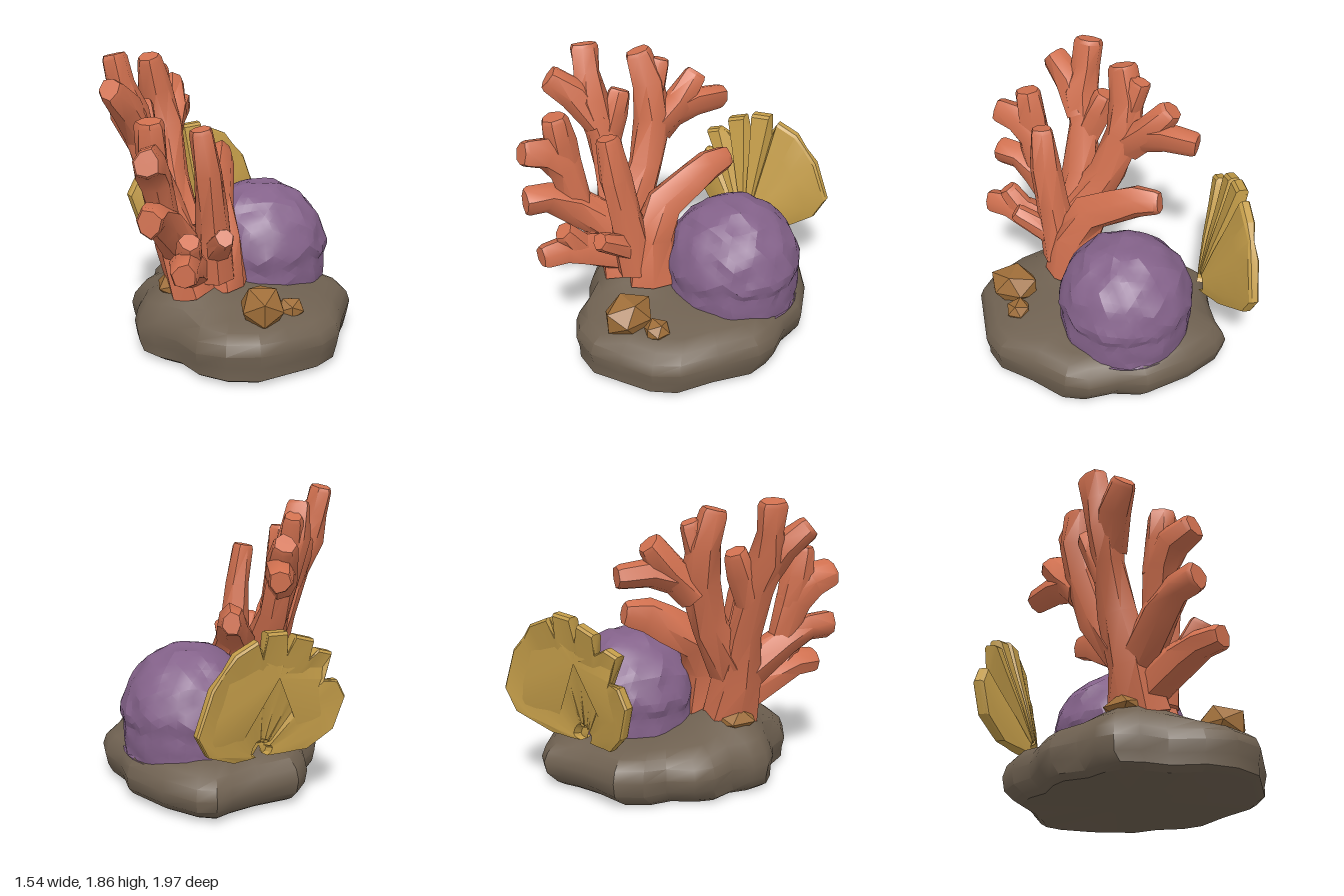
import * as THREE from 'three';
import { toCreasedNormals } from 'three/addons/utils/BufferGeometryUtils.js';

const V = (x, y, z) => new THREE.Vector3(x, y, z);

function material(name, color) {
  const m = new THREE.MeshStandardMaterial({ color });
  m.name = name;
  return m;
}

// Smooth deterministic bumpiness in -1..1
const bump = (p, f) =>
  (Math.sin(p.x * f + 1.3 * Math.sin(p.y * f * 0.8 + 1)) +
   Math.sin(p.y * f * 1.2 + 1.5 * Math.sin(p.z * f * 0.9 + 2)) +
   Math.sin(p.z * f * 1.1 + 1.4 * Math.sin(p.x * f * 0.7 + 4))) / 3;

// Skin a list of equal-length closed rings and cap both ends
function loft(rings, crease) {
  const n = rings[0].length, pos = [];
  const tri = (...pts) => pts.forEach((p) => pos.push(p.x, p.y, p.z));
  const middle = (r) => r.reduce((s, p) => s.add(p), V(0, 0, 0)).divideScalar(n);
  const first = rings[0], last = rings[rings.length - 1];
  const c0 = middle(first), c1 = middle(last);
  for (let j = 0; j < n; j++) {
    const k = (j + 1) % n;
    tri(c0, first[k], first[j]);
    tri(c1, last[j], last[k]);
    for (let i = 0; i < rings.length - 1; i++) {
      const a = rings[i], b = rings[i + 1];
      tri(a[j], a[k], b[k]);
      tri(a[j], b[k], b[j]);
    }
  }
  const g = new THREE.BufferGeometry();
  g.setAttribute('position', new THREE.Float32BufferAttribute(pos, 3));
  return toCreasedNormals(g, crease);
}

// Branch through points [x, y, z, radius], wider in the fan plane, with a blunt tip
function branchGeometry(pts, sides = 7) {
  const p = pts.map((q) => V(q[0], q[1], q[2]));
  const rings = [];
  const addRing = (c, t, rad) => {
    const u = V(1, 0, 0).addScaledVector(t, -t.x).normalize();
    const v = t.clone().cross(u);
    const ring = [];
    for (let j = 0; j < sides; j++) {
      const a = (j / sides) * Math.PI * 2 + 0.3;
      const w = rad * (1 + 0.1 * Math.sin(j * 2.3 + c.y * 9));
      ring.push(c.clone().addScaledVector(u, w * Math.cos(a)).addScaledVector(v, 1.13 * w * Math.sin(a)));
    }
    rings.push(ring);
  };
  p.forEach((c, i) => {
    const t = p[Math.min(i + 1, p.length - 1)].clone().sub(p[Math.max(i - 1, 0)]).normalize();
    addRing(c, t, pts[i][3]);
    if (i === p.length - 1) addRing(c.clone().addScaledVector(t, 0.025), t, pts[i][3] * 0.85);
  });
  return loft(rings, 0.8);
}

// Lumpy ball from a subdivided icosahedron
function lump(radius, detail, freq, amount, crease, shape) {
  const g = new THREE.IcosahedronGeometry(1, detail);
  const a = g.attributes.position, p = V(0, 0, 0);
  for (let i = 0; i < a.count; i++) {
    p.fromBufferAttribute(a, i).normalize();
    p.multiplyScalar(1 + amount * bump(p, freq));
    if (shape) shape(p);
    a.setXYZ(i, p.x * radius[0], p.y * radius[1], p.z * radius[2]);
  }
  return toCreasedNormals(g, crease);
}

function rockGeometry() {
  // Plan outline [x, z], from the front round by the left side; a second lobe sits at right front
  const outline = [[0.12, 0.92], [0.3, 0.83], [0.5, 0.73], [0.62, 0.6], [0.68, 0.35], [0.77, 0.1],
    [0.75, -0.05], [0.65, -0.22], [0.61, -0.4], [0.4, -0.63], [0.2, -0.77], [0.08, -0.8], [-0.02, -0.73],
    [-0.2, -0.64], [-0.44, -0.56], [-0.52, -0.4], [-0.53, -0.25], [-0.62, -0.1], [-0.65, 0.02],
    [-0.6, 0.18], [-0.62, 0.32], [-0.6, 0.44], [-0.5, 0.54], [-0.36, 0.63], [-0.25, 0.8], [-0.08, 0.9]];
  // [scale, height]
  const levels = [[0.88, 0], [0.94, 0.03], [0.98, 0.09], [1, 0.17], [0.97, 0.24], [0.9, 0.295],
    [0.77, 0.33], [0.6, 0.35], [0.42, 0.36], [0.22, 0.37], [0.08, 0.37]];
  return loft(levels.map(([s, h]) => outline.map(([x, z]) => {
    const p = V(0.05 + (x - 0.05) * s, h, 0.05 + (z - 0.05) * s + (h < 0.08 ? 0.035 : 0));
    if (h > 0.05) {
      const d = (p.x + 0.23) ** 2 + (p.z - 0.35) ** 2;
      p.y += 0.022 * bump(p, 9) + (h > 0.27 ? 0.14 * Math.exp(-d / 0.06) : 0);
    }
    return p;
  })), 0.6);
}

function fanGeometry() {
  // Rim of the fan [sideways, up, half thickness]; thin entries are notches
  const rim = [[-0.28, 0.01, 0.03], [-0.42, 0.14, 0.035], [-0.48, 0.34, 0.035], [-0.42, 0.45, 0.035],
    [-0.34, 0.46, 0.012], [-0.39, 0.62, 0.04], [-0.3, 0.65, 0.04], [-0.23, 0.61, 0.012],
    [-0.24, 0.73, 0.04], [-0.12, 0.77, 0.04], [-0.075, 0.66, 0.012], [-0.06, 0.8, 0.04],
    [0.07, 0.81, 0.04], [0.085, 0.66, 0.012], [0.13, 0.77, 0.035], [0.27, 0.71, 0.035],
    [0.34, 0.62, 0.02], [0.42, 0.53, 0.035], [0.515, 0.27, 0.03], [0.44, 0.13, 0.03], [0.22, 0.01, 0.03]];
  const base = V(-0.17, 0.38, -0.58), side = V(0.91, 0, -0.41), back = V(-0.41, 0, -0.91);
  // [fraction of reach, rim share of thickness, overall thickness]
  const rows = [[0.12, 0, 0], [0.15, 0, 1], [0.45, 0.35, 1.1], [0.75, 0.8, 1], [0.98, 1, 1], [1, 1, 0.6], [1, 1, 0]];
  return loft(rows.map(([t, share, k]) => {
    const point = ([u, v, th], face) => {
      const lean = 0.2 * Math.min(1, Math.hypot(u, v) / 0.5) * t - (u < -0.25 && v > 0.55 ? 0.03 * t : 0);
      const thick = THREE.MathUtils.lerp(0.045, th, share) * k;
      return base.clone().addScaledVector(side, u * t).addScaledVector(back, lean + face * thick)
        .add(V(0, 0.02 * t + v * t, 0));
    };
    return [...rim.map((q) => point(q, -1)), ...[...rim].reverse().map((q) => point(q, 1))];
  }), 0.5);
}

export function createModel() {
  const model = new THREE.Group();
  model.name = 'coralReef';
  const stone = material('brownStone', 0x6f6151);
  const purple = material('purpleCoral', 0x84628a);
  const orange = material('orangeCoral', 0xd0704f);
  const gold = material('goldenFan', 0xc49d49);
  const ochre = material('ochrePebble', 0x9f6e39);
  const add = (parent, name, geometry, mat, at = [0, 0, 0]) => {
    const m = new THREE.Mesh(geometry, mat);
    m.name = name;
    m.position.set(...at);
    parent.add(m);
  };

  add(model, 'rockBase', rockGeometry(), stone);

  // Wrinkled round coral with an upright skirt below its widest line
  add(model, 'domeCoral', lump([0.435, 0.43, 0.43], 8, 13, 0.035, 0.3, (p) => {
    if (p.y < 0 && p.y > -0.75) {
      const s = (0.98 + 0.03 * bump(p, 13)) / Math.hypot(p.x, p.z);
      p.x *= s;
      p.z *= s;
    }
    p.y = Math.max(p.y, -0.55);
  }), purple, [0.2, 0.51, -0.145]);

  add(model, 'fanCoral', fanGeometry(), gold);

  // Small angular stones
  const pebbles = [[[0.15, 0.385, 0.65], [0.15, 0.135, 0.18]], [[0.33, 0.335, 0.56], [0.09, 0.07, 0.09]],
    [[-0.32, 0.42, 0.34], [0.17, 0.09, 0.16]]];
  pebbles.forEach(([at, size], i) => add(model, 'pebble' + (i + 1), lump(size, 0, 5 + i, 0.08, 0.3), ochre, at));

  // Branching coral, each limb as [x, y, z, radius]
  const limbs = {
    outerTrunk: [[-0.25, 0.4, 0.36, 0.17], [-0.34, 0.7, 0.36, 0.14], [-0.44, 1, 0.34, 0.105],
      [-0.54, 1.3, 0.35, 0.092], [-0.61, 1.5, 0.38, 0.11], [-0.66, 1.67, 0.36, 0.08], [-0.69, 1.82, 0.35, 0.082]],
    outerFrontFork: [[-0.55, 1.36, 0.37, 0.09], [-0.64, 1.56, 0.47, 0.095], [-0.7, 1.67, 0.59, 0.075]],
    outerBackFork: [[-0.52, 1.22, 0.33, 0.08], [-0.54, 1.4, 0.25, 0.08], [-0.55, 1.52, 0.2, 0.07]],
    rearBranch: [[-0.32, 0.76, 0.32, 0.13], [-0.37, 1.06, 0.13, 0.105], [-0.41, 1.36, 0.04, 0.11],
      [-0.47, 1.58, 0.03, 0.1], [-0.5, 1.77, 0.07, 0.08]],
    rearStub: [[-0.45, 1.5, 0.02, 0.08], [-0.45, 1.7, -0.05, 0.065]],
    rearUpperFork: [[-0.4, 1.28, 0.02, 0.1], [-0.37, 1.43, -0.14, 0.095], [-0.37, 1.58, -0.27, 0.075]],
    rearLowerFork: [[-0.38, 1.37, -0.08, 0.09], [-0.34, 1.42, -0.25, 0.085], [-0.32, 1.41, -0.44, 0.072]],
    frontBranch: [[-0.33, 0.7, 0.4, 0.12], [-0.43, 0.92, 0.65, 0.105], [-0.47, 1, 0.8, 0.08], [-0.49, 1.01, 0.93, 0.08]],
    frontUpperBranch: [[-0.42, 0.92, 0.62, 0.085], [-0.46, 1.18, 0.68, 0.1], [-0.49, 1.3, 0.78, 0.1],
      [-0.5, 1.335, 0.92, 0.08]],
    frontUpperFork: [[-0.46, 1.15, 0.66, 0.085], [-0.48, 1.34, 0.69, 0.09], [-0.49, 1.5, 0.71, 0.08]],
    lowBranch: [[-0.26, 0.54, 0.4, 0.12], [-0.29, 0.67, 0.68, 0.105], [-0.3, 0.71, 0.82, 0.085], [-0.31, 0.71, 0.95, 0.075]],
    lowFork: [[-0.28, 0.66, 0.68, 0.085], [-0.28, 0.84, 0.81, 0.065]],
    innerTrunk: [[-0.06, 0.4, 0.3, 0.16], [-0.09, 0.7, 0.28, 0.135], [-0.12, 0.9, 0.17, 0.12],
      [-0.08, 1.02, -0.03, 0.105], [-0.06, 1.09, -0.15, 0.095], [-0.05, 1.11, -0.27, 0.072]],
    innerFrontBranch: [[-0.11, 0.5, 0.38, 0.13], [-0.14, 0.9, 0.45, 0.095], [-0.16, 1.17, 0.5, 0.09],
      [-0.2, 1.41, 0.52, 0.068]],
    innerStub: [[-0.12, 0.66, 0.43, 0.08], [-0.08, 0.82, 0.67, 0.058]],
  };
  const coral = new THREE.Group();
  coral.name = 'branchingCoral';
  for (const [name, pts] of Object.entries(limbs)) add(coral, name, branchGeometry(pts), orange);
  model.add(coral);
  return model;
}
